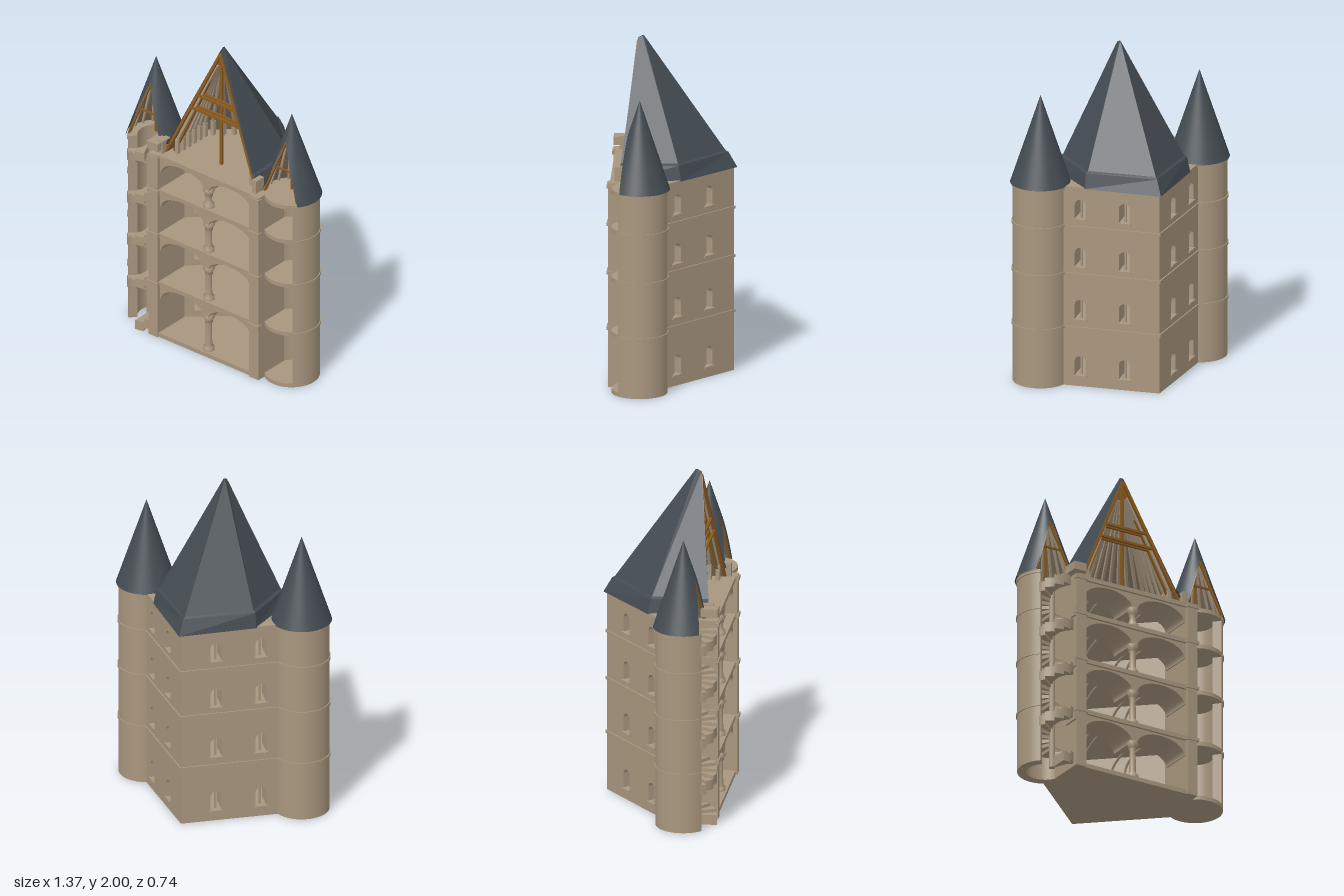
import * as THREE from 'three';

const stone = new THREE.MeshStandardMaterial({ color: 0xa8967e, side: THREE.DoubleSide });
stone.name = 'stone';
const slate = new THREE.MeshStandardMaterial({ color: 0x434b52, side: THREE.DoubleSide });
slate.name = 'slate';
const timber = new THREE.MeshStandardMaterial({ color: 0x8a5a1e });
timber.name = 'timber';
const lining = new THREE.MeshStandardMaterial({ color: 0x756958, side: THREE.DoubleSide });
lining.name = 'roofLining';

const WALL_TOP = 1.22, TX = 0.51, TZ = 0.168;
// floor height, ceiling height and window centre of each storey
const STOREYS = [[0.03, 0.345, 0.12], [0.37, 0.67, 0.465], [0.695, 0.965, 0.785], [0.99, 1.195, 1.08]];
const COURSES = [0.355, 0.685, 0.975];

const V = (x, y, z) => new THREE.Vector3(x, y, z);

function add(parent, name, geo, mat, x = 0, y = 0, z = 0) {
  const m = new THREE.Mesh(geo, mat);
  m.name = name;
  m.position.set(x, y, z);
  parent.add(m);
  return m;
}

function box(parent, name, mat, w, h, d, x, y, z) {
  return add(parent, name, new THREE.BoxGeometry(w, h, d), mat, x, y, z);
}

// square bar between two points
function beam(parent, name, mat, a, b, w) {
  const m = box(parent, name, mat, w, a.distanceTo(b), w, 0, 0, 0);
  m.position.copy(a).lerp(b, 0.5);
  m.quaternion.setFromUnitVectors(V(0, 1, 0), b.clone().sub(a).normalize());
  return m;
}

// upright extrusion of a plan outline; shape y is -z
function plan(shape, height) {
  return new THREE.ExtrudeGeometry(shape, { depth: height, bevelEnabled: false, curveSegments: 28 })
    .rotateX(-Math.PI / 2);
}

function ringSector(r0, r1, a0, a1) {
  const s = new THREE.Shape();
  s.absarc(0, 0, r1, a0, a1, false);
  s.absarc(0, 0, r0, a1, a0, true);
  return s;
}

// surface through rows of points
function skin(rows, smooth) {
  const n = rows[0].length, idx = [];
  for (let i = 0; i < rows.length - 1; i++)
    for (let j = 0; j < n - 1; j++) {
      const a = i * n + j, b = a + n;
      idx.push(a, b, a + 1, a + 1, b, b + 1);
    }
  let g = new THREE.BufferGeometry().setFromPoints(rows.flat());
  g.setIndex(idx);
  if (!smooth) g = g.toNonIndexed();
  g.computeVertexNormals();
  return g;
}

// diagonal rear wall with through windows
function rearWall(parent) {
  const wall = new THREE.Group();
  wall.name = 'rearWall';
  wall.position.set(0, 0, -0.355);
  wall.rotation.y = -0.722;
  const s = new THREE.Shape();
  s.moveTo(0, 0).lineTo(0.6, 0).lineTo(0.6, WALL_TOP).lineTo(0, WALL_TOP);
  for (const [, , y] of STOREYS)
    for (const x of [0.209, 0.475]) {
      const h = new THREE.Path();
      h.moveTo(x - 0.033, y - 0.055).lineTo(x + 0.033, y - 0.055).lineTo(x + 0.033, y + 0.03);
      h.absarc(x, y + 0.03, 0.033, 0, Math.PI, false);
      s.holes.push(h);
      box(wall, 'windowMullion', stone, 0.012, 0.115, 0.012, x, y, 0.03);
      box(wall, 'windowSill', stone, 0.08, 0.01, 0.02, x, y - 0.06, 0);
    }
  add(wall, 'wallPanel', new THREE.ExtrudeGeometry(s, { depth: 0.12, bevelEnabled: false, curveSegments: 6 }), stone);
  for (const y of COURSES) box(wall, 'stringCourse', stone, 0.57, 0.016, 0.02, 0.28, y, 0.002);
  parent.add(wall);
}

// conical turret roof with a triangular opening to the front
function coneRoof(parent, name, mat, R, top, base, open) {
  const rows = [];
  for (let i = 0; i <= 20; i++) {
    const t = 0.005 + 0.995 * i / 20, r = R * t;
    const w = Math.max(0, open * (t - 0.3) / 0.7);
    const a = Math.asin(Math.min(0.95, w / r)), row = [];
    for (let j = 0; j <= 32; j++) {
      const q = a + (Math.PI * 2 - 2 * a) * j / 32;
      row.push(V(r * Math.sin(q), top + (base - top) * t, r * Math.cos(q)));
    }
    rows.push(row);
  }
  add(parent, name, skin(rows, true), mat);
}

function turret(parent, side) {
  const t = new THREE.Group();
  t.name = side > 0 ? 'leftTurret' : 'stairTurret';
  t.position.set(TX, 0, TZ);
  const a0 = -0.85, a1 = Math.PI + 0.2;
  add(t, 'turretWall', plan(ringSector(0.108, 0.162, a0, a1), WALL_TOP), stone);
  for (const y of [...COURSES, 1.205])
    add(t, 'turretCourse', plan(ringSector(0.15, 0.168, a0, a1), 0.016), stone, 0, y - 0.008, 0);
  coneRoof(t, 'turretRoof', slate, 0.176, 1.745, 1.215, 0.135);
  coneRoof(t, 'turretRoofLining', lining, 0.164, 1.71, 1.215, 0.126);
  // rafters
  for (let i = 0; i < 11; i++) {
    const q = 1.1 + i * 0.408;
    beam(t, 'turretRafter', stone, V(0.152 * Math.sin(q), 1.22, 0.152 * Math.cos(q)),
      V(0.035 * Math.sin(q), 1.59, 0.035 * Math.cos(q)), 0.012);
  }
  for (const s of [-1, 1])
    beam(t, 'turretFrame', timber, V(s * 0.122, 1.23, 0.1), V(0, 1.58, 0.045), 0.012);
  beam(t, 'turretPost', timber, V(0, 1.24, 0), V(0, 1.6, 0), 0.012);
  beam(t, 'turretCollar', timber, V(-0.065, 1.4, 0.07), V(0.065, 1.4, 0.07), 0.01);
  if (side > 0)
    for (const y of [0, 0.345, 0.67, 0.965, 1.195])
      add(t, 'turretFloor', new THREE.CylinderGeometry(0.16, 0.16, 0.025, 40), stone, 0, y + 0.0125, 0.004);
  parent.add(t);
}

// spiral stair: wedge steps around a newel
function stair(parent) {
  const g = new THREE.Group();
  g.name = 'spiralStair';
  g.position.set(-0.505, 0, 0.235);
  const step = plan(ringSector(0.004, 0.128, 0, 0.46), 0.06);
  for (let i = 0; i < 57; i++) {
    const m = add(g, 'step', step, stone, 0, i * 0.0203, 0);
    m.rotation.y = -Math.PI / 2 + i * Math.PI / 7;
  }
  add(g, 'newel', new THREE.CylinderGeometry(0.018, 0.018, 1.2, 14), stone, 0, 0.6, 0);
  for (const [f] of STOREYS) box(g, 'landing', stone, 0.08, 0.05, 0.1, 0.12, f + 0.28, 0.07);
  parent.add(g);
}

// floor slab, arches, column and ribs of one storey
function storey(parent, [floor, ceil]) {
  const g = new THREE.Group();
  g.name = 'storey';
  const spring = ceil - 0.095;
  const s = new THREE.Shape();
  s.moveTo(-0.35, ceil + 0.005).lineTo(-0.35, spring).lineTo(-0.338, spring);
  s.absellipse(-0.178, spring, 0.16, 0.085, Math.PI, 0, true);
  s.lineTo(0.018, spring);
  s.absellipse(0.178, spring, 0.16, 0.085, Math.PI, 0, true);
  s.lineTo(0.35, spring).lineTo(0.35, ceil + 0.005);
  add(g, 'vault', new THREE.ExtrudeGeometry(s, { depth: 0.2, bevelEnabled: false, curveSegments: 16 }), stone, 0, 0, 0.13);
  const h = spring - floor;
  const p = [[0.034, 0], [0.034, 0.02], [0.02, 0.035], [0.018, h - 0.04], [0.024, h - 0.035], [0.022, h - 0.025], [0.036, h], [0.02, h + 0.02]];
  add(g, 'column', new THREE.LatheGeometry(p.map(q => new THREE.Vector2(...q)), 16), stone, 0, floor, 0.305);
  for (const m of [-1, 1])
    for (const x of [0.1, 0.16]) {
      const c = new THREE.QuadraticBezierCurve3(V(m * x, spring - 0.02, x * 0.88 - 0.18),
        V(m * x, ceil - 0.02, x * 0.88 - 0.16), V(m * (x + 0.02), ceil, 0.13));
      add(g, 'vaultRib', new THREE.TubeGeometry(c, 8, 0.008, 6), stone);
    }
  parent.add(g);
}

function mainRoof(parent) {
  const g = new THREE.Group();
  g.name = 'mainRoof';
  const half = [
    [[0, 1.215, -0.376], [0.338, 1.215, -0.066], [0.355, 1.215, 0.3]],
    [[0, 1.305, -0.325], [0.325, 1.305, -0.05], [0.325, 1.305, 0.288]],
    [[0, 1.315, -0.308], [0.308, 1.315, -0.045], [0.308, 1.315, 0.285]],
    [[0, 2, 0.165], [0.004, 1.998, 0.172], [0.002, 1.985, 0.198]],
  ];
  const rows = half.map(r => [...[...r].reverse().map(([x, y, z]) => V(-x, y, z)), ...r.slice(1).map(q => V(...q))]);
  add(g, 'roofSlopes', skin(rows), slate);
  const inner = rows.map(r => r.map(p => V(p.x * 0.95, 1.215 + (p.y - 1.215) * 0.965, 0.2 + (p.z - 0.2) * 0.95)));
  add(g, 'roofLining', skin(inner), lining);
  // rafters from the eaves towards the peak
  const peak = V(0, 1.95, 0.18);
  for (let j = 0; j < 4; j++)
    for (let k = 0; k < 6; k++) {
      const a = inner[2][j].clone().lerp(inner[2][j + 1], (k + 0.5) / 6);
      a.x *= 0.95;
      a.z = 0.2 + (a.z - 0.2) * 0.95;
      beam(g, 'rafter', stone, a, a.clone().lerp(peak, 0.88), 0.016);
      beam(g, 'rafterFoot', stone, V(a.x, 1.22, a.z), a, 0.024);
    }
  // timber frames at the open front
  for (const [w, dz] of [[0.335, 0], [0.3, -0.03]]) {
    const at = (s, y) => {
      const t = (1.965 - y) / 0.735;
      return V(s * w * t, y, 0.197 + 0.085 * t + dz);
    };
    for (const s of [-1, 1]) beam(g, 'principalRafter', timber, at(s, 1.23), at(0, 1.965), 0.017);
    for (const y of [1.56, 1.65]) beam(g, 'collarBeam', timber, at(-1, y), at(1, y), 0.014);
  }
  beam(g, 'kingPost', timber, V(0, 1.22, 0.19), V(0, 1.96, 0.19), 0.016);
  parent.add(g);
}

export function createModel() {
  const model = new THREE.Group();
  model.name = 'cutawayTower';
  // floors
  const s = new THREE.Shape();
  s.moveTo(0, 0.27).lineTo(-0.37, -0.06).lineTo(-0.37, -0.345).lineTo(0.37, -0.345).lineTo(0.37, -0.06);
  for (const y of [0, 0.345, 0.67, 0.965, 1.195]) add(model, 'floorSlab', plan(s, 0.026), stone, 0, y, 0);
  STOREYS.forEach(st => storey(model, st));
  // mirrored halves
  for (const side of [1, -1]) {
    const half = new THREE.Group();
    half.name = side > 0 ? 'leftHalf' : 'rightHalf';
    half.scale.x = side;
    rearWall(half);
    turret(half, side);
    box(half, 'pier', stone, 0.068, WALL_TOP, 0.26, 0.379, WALL_TOP / 2, 0.225);
    box(half, 'parapetStub', stone, 0.032, 0.085, 0.07, 0.352, 1.26, 0.285);
    for (const y of [...COURSES, 1.2]) box(half, 'pierCourse', stone, 0.08, 0.02, 0.03, 0.379, y, 0.348);
    model.add(half);
  }
  stair(model);
  mainRoof(model);
  return model;
}
